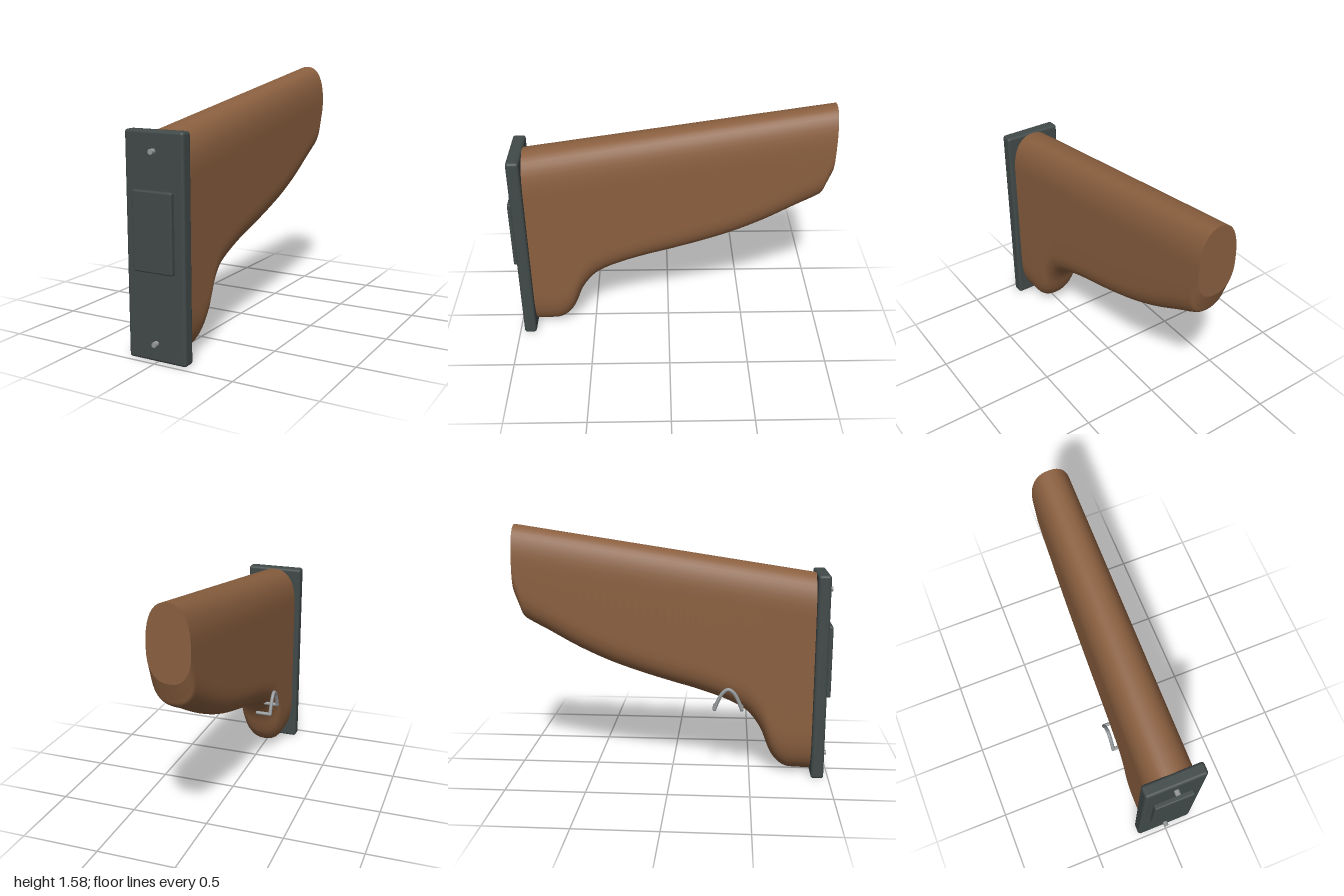
import * as THREE from 'three';
import { RoundedBoxGeometry } from 'three/addons/geometries/RoundedBoxGeometry.js';

const wood = new THREE.MeshStandardMaterial({ name: 'brown wood', color: 0x8a5f3f });
const dark = new THREE.MeshStandardMaterial({ name: 'dark plate', color: 0x414a49 });
const steel = new THREE.MeshStandardMaterial({ name: 'grey steel', color: 0x96999b });

// Underside line of the stock as [z, y], from the plate to the narrow end
const underside = [
  [0.9, 0.02], [0.8, 0.022], [0.74, 0.028], [0.69, 0.055], [0.64, 0.115], [0.61, 0.18],
  [0.58, 0.26], [0.54, 0.33], [0.48, 0.4], [0.4, 0.45], [0.3, 0.493], [0.15, 0.543], [0, 0.585],
  [-0.2, 0.645], [-0.4, 0.715], [-0.6, 0.805], [-0.8, 0.915], [-0.9, 0.968], [-0.945, 0.998],
  [-0.965, 1.045], [-1, 1.14],
];

// Closed outline at one z: rounded top, straight sides, rounded bottom
function section(z, bottom) {
  const steps = 20, n = 2.4, pts = [];
  const t = (0.9 - z) / 1.9;
  const top = 1.297 + 0.288 * t;
  const w = 0.155 - 0.028 * t;
  const capTop = 0.25;
  const capBottom = 0.19 + 0.1 * THREE.MathUtils.smoothstep(z, 0.3, 0.9);
  const power = (v) => Math.sign(v) * Math.abs(v) ** (2 / n);
  for (const half of [0, 1]) {
    for (let i = 0; i <= steps; i++) {
      const a = Math.PI * (half + i / steps);
      const c = Math.abs(Math.cos(a)) < 1e-9 ? 0 : Math.cos(a);
      const s = Math.abs(Math.sin(a)) < 1e-9 ? 0 : Math.sin(a);
      const y = half ? bottom + capBottom + capBottom * power(s) : top - capTop + capTop * power(s);
      pts.push([w * power(c), y, z]);
    }
  }
  return pts;
}

// Loft through the sections, with flat end caps on their own vertices
function stockGeometry() {
  const curve = new THREE.CatmullRomCurve3(underside.map(([z, y]) => new THREE.Vector3(0, y, z)));
  const rings = curve.getPoints(80).map((p) => section(p.z, p.y));
  const n = rings[0].length, pos = [], index = [];
  rings.forEach((ring) => ring.forEach((p) => pos.push(...p)));
  for (let i = 0; i < rings.length - 1; i++) {
    for (let j = 0; j < n; j++) {
      const k = (j + 1) % n;
      const a = i * n + j, b = i * n + k, d = a + n, c = b + n;
      index.push(a, d, b, b, d, c);
    }
  }
  for (const [ring, back] of [[rings[0], false], [rings[rings.length - 1], true]]) {
    const start = pos.length / 3;
    ring.forEach((p) => pos.push(...p));
    pos.push(0, (ring[10][1] + ring[31][1]) / 2, ring[0][2]);
    for (let j = 0; j < n; j++) {
      const k = (j + 1) % n;
      index.push(start + n, start + (back ? k : j), start + (back ? j : k));
    }
  }
  const g = new THREE.BufferGeometry();
  g.setAttribute('position', new THREE.Float32BufferAttribute(pos, 3));
  g.setIndex(index);
  g.computeVertexNormals();
  return g;
}

export function createModel() {
  const model = new THREE.Group();
  model.name = 'stock';
  const add = (name, geometry, material, x = 0, y = 0, z = 0) => {
    const mesh = new THREE.Mesh(geometry, material);
    mesh.name = name;
    mesh.position.set(x, y, z);
    model.add(mesh);
    return mesh;
  };

  add('woodenBody', stockGeometry(), wood);

  // End plate and raised panel
  add('endPlate', new RoundedBoxGeometry(0.38, 1.3, 0.08, 3, 0.018), dark, 0, 0.655, 0.93);
  add('raisedPanel', new RoundedBoxGeometry(0.256, 0.456, 0.06, 3, 0.01), dark, 0, 0.752, 0.97);

  // Screws
  for (const y of [0.115, 1.193]) {
    const screw = add('screw', new THREE.CylinderGeometry(0.016, 0.016, 0.04, 12), steel, 0, y, 0.98);
    screw.rotation.x = Math.PI / 2;
  }

  // Wire sling loop: an arch along the side with two feet turned in underneath
  const v = (x, y, z) => new THREE.Vector3(x, y, z);
  const path = new THREE.CurvePath();
  const x = -0.17, r = 0.012;
  path.add(new THREE.LineCurve3(v(-0.08, 0.448, 0.274), v(x, 0.448, 0.274)));
  path.add(new THREE.CatmullRomCurve3([
    v(x, 0.448, 0.274), v(x, 0.5, 0.294), v(x, 0.555, 0.325), v(x, 0.578, 0.36),
    v(x, 0.555, 0.395), v(x, 0.5, 0.426), v(x, 0.448, 0.446),
  ]));
  path.add(new THREE.LineCurve3(v(x, 0.448, 0.446), v(-0.08, 0.448, 0.446)));
  path.curves.forEach((c) => add('slingLoop', new THREE.TubeGeometry(c, 24, r, 10), steel));
  for (const z of [0.274, 0.446]) {
    add('slingLoopCorner', new THREE.SphereGeometry(r, 12, 8), steel, x, 0.448, z);
    add('slingLoopEnd', new THREE.SphereGeometry(r, 12, 8), steel, -0.08, 0.448, z);
  }
  return model;
}
